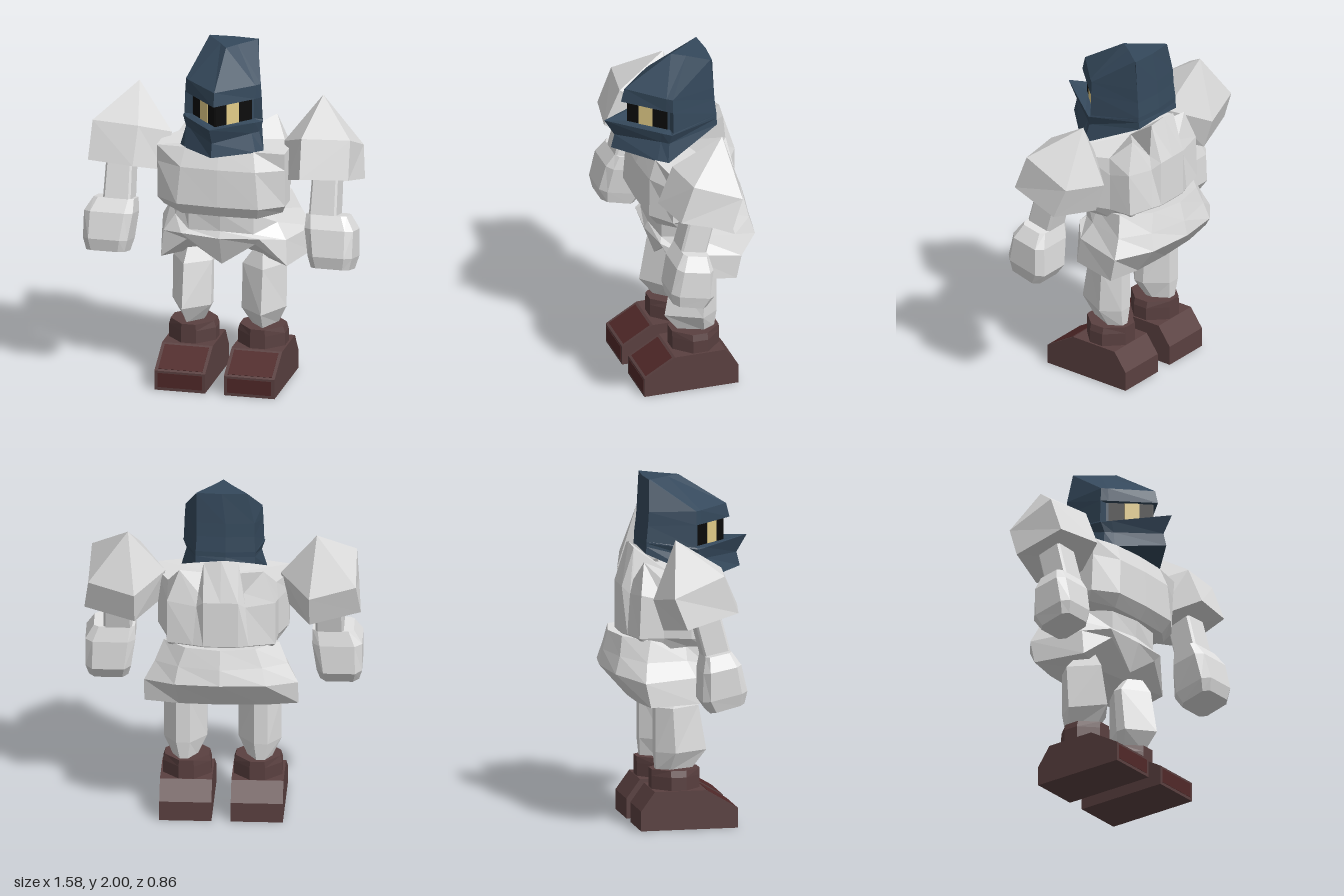
import * as THREE from 'three';

// Faceted skin through rings of [x, y, z]; the ends close on a tip or on the ring's middle.
function loft(rings, startTip, endTip) {
  const n = rings[0].length, pos = [];
  const mid = (r) => [0, 1, 2].map((k) => r.reduce((s, p) => s + p[k], 0) / n);
  const first = rings[0], last = rings[rings.length - 1];
  const a0 = startTip || mid(first), a1 = endTip || mid(last);
  const tris = [];
  for (let i = 0; i < n; i++) {
    const j = (i + 1) % n;
    tris.push([a0, first[j], first[i]], [a1, last[i], last[j]]);
    for (let r = 0; r < rings.length - 1; r++) {
      const p = rings[r], q = rings[r + 1];
      tris.push([p[i], p[j], q[j]], [p[i], q[j], q[i]]);
    }
  }
  // Turn every face outward, whichever way the rings run
  const V = (p) => new THREE.Vector3(...p);
  const volume = tris.reduce((s, [a, b, c]) => s + V(a).dot(V(b).cross(V(c))), 0);
  for (const [a, b, c] of tris) pos.push(...a, ...(volume < 0 ? c : b), ...(volume < 0 ? b : c));
  const g = new THREE.BufferGeometry();
  g.setAttribute('position', new THREE.Float32BufferAttribute(pos, 3));
  g.computeVertexNormals();
  return g;
}

// Full ring from a half that runs from front centre to back centre
const mirrorRing = (half) => [
  ...half, ...half.slice(1, -1).reverse().map(([x, y, z]) => [-x, y, z]),
];

// Hood cloth hangs slightly to one side at the back
const hang = (ring) => ring.map(([x, y, z]) => [z < -0.1 && y < 1.9 ? x - 0.022 : x, y, z]);

// Ring with chamfered corners: centre x, y, z, half sizes, chamfer share, rise towards the front
function octRing(x, y, z, w, d, c, slope = 0) {
  const k = 1 - c;
  return [[w, d * k], [w * k, d], [-w * k, d], [-w, d * k], [-w, -d * k], [-w * k, -d], [w * k, -d], [w, -d * k]]
    .map(([u, v]) => [x + u, y + v * slope, z + v]);
}

// Six-sided leg section: front corner outwards, narrow back
const legRing = (y, x0, x1, z0, z1) =>
  [[0, 0.6], [0.58, 1], [1, 0.34], [0.7, 0], [0.38, 0], [0, 0.4]]
    .map(([u, v]) => [x0 + u * (x1 - x0), y, z0 + v * (z1 - z0)]);

export function createModel() {
  const model = new THREE.Group();
  const mat = (name, color) => {
    const m = new THREE.MeshStandardMaterial({ color });
    m.name = name;
    m.flatShading = true;
    return m;
  };
  const armour = mat('pale armour', 0xdedede);
  const hoodBlue = mat('hood blue', 0x35495c);
  const bootBrown = mat('boot brown', 0x5a4040);
  const toeRed = mat('toe red', 0x502828);
  const black = mat('visor black', 0x0b0b0b);
  const gold = mat('eye gold', 0xe2cc88);

  const add = (parent, name, geometry, material) => {
    const m = new THREE.Mesh(geometry, material);
    m.name = name;
    parent.add(m);
    return m;
  };

  // Chest: broad breastplate in front, ridged hump behind
  add(model, 'chest', loft([
    [[0, 1.44, 0.2], [0.2, 1.44, 0.19], [0.375, 1.43, 0.16], [0.375, 1.43, 0.03], [0.31, 1.43, -0.11],
      [0.24, 1.54, -0.22], [0.13, 1.42, -0.26], [0.1, 1.6, -0.25], [0, 1.62, -0.26]],
    [[0, 1.33, 0.24], [0.22, 1.33, 0.23], [0.375, 1.33, 0.15], [0.375, 1.33, 0.03], [0.32, 1.33, -0.12],
      [0.31, 1.36, -0.25], [0.14, 1.34, -0.28], [0.1, 1.38, -0.32], [0, 1.38, -0.32]],
    [[0, 1.11, 0.25], [0.24, 1.11, 0.24], [0.375, 1.11, 0.14], [0.375, 1.11, 0.03], [0.32, 1.11, -0.12],
      [0.31, 1.11, -0.26], [0.16, 1.11, -0.3], [0.1, 1.11, -0.32], [0, 1.11, -0.32]],
    [[0, 1.04, 0.2], [0.22, 1.04, 0.19], [0.35, 1.06, 0.1], [0.34, 1.06, 0.02], [0.29, 1.04, -0.12],
      [0.25, 1.04, -0.22], [0.15, 1.04, -0.27], [0.08, 1.04, -0.29], [0, 1.04, -0.29]],
  ].map(mirrorRing), [0, 1.43, -0.02]), armour);

  // Skirt: flared at the back, arched over each leg at the front
  add(model, 'skirt', loft([
    [[0, 1.05, 0.18], [0.19, 1.05, 0.15], [0.26, 1.05, 0.02], [0.33, 1.1, -0.2], [0.2, 1.11, -0.34], [0, 1.11, -0.38]],
    [[0, 0.94, 0.17], [0.19, 0.93, 0.15], [0.3, 0.97, 0.02], [0.38, 0.98, -0.23], [0.24, 1.0, -0.36], [0, 1.0, -0.41]],
    [[0, 0.9, 0.19], [0.23, 0.91, 0.17], [0.36, 0.88, 0.06], [0.44, 0.87, -0.25], [0.26, 0.9, -0.39], [0, 0.91, -0.43]],
    [[0, 0.73, 0.13], [0.2, 0.87, 0.15], [0.37, 0.73, 0.08], [0.44, 0.73, -0.22], [0.24, 0.73, -0.26], [0, 0.73, -0.27]],
  ].map(mirrorRing), null, [0, 0.8, -0.08]), armour);

  // Hood: brow, recessed eye band, pointed muzzle guard
  const head = new THREE.Group();
  head.name = 'head';
  model.add(head);
  add(head, 'hood', loft([
    [[0, 2, 0.03], [0.05, 2, -0.045], [0.14, 2, -0.16], [0.145, 2, -0.17], [0, 2, -0.18]],
    [[0, 1.82, 0.31], [0.195, 1.82, 0.12], [0.22, 1.82, 0.09], [0.165, 1.82, -0.18], [0, 1.82, -0.195]],
    [[0, 1.74, 0.33], [0.195, 1.74, 0.125], [0.225, 1.74, 0.09], [0.165, 1.74, -0.185], [0, 1.74, -0.2]],
    [[0, 1.74, 0.29], [0.18, 1.74, 0.095], [0.225, 1.74, 0.09], [0.165, 1.74, -0.185], [0, 1.74, -0.2]],
    [[0, 1.61, 0.29], [0.18, 1.61, 0.095], [0.23, 1.61, 0.09], [0.17, 1.65, -0.195], [0, 1.65, -0.21]],
    [[0, 1.635, 0.43], [0.2, 1.605, 0.15], [0.235, 1.6, 0.1], [0.17, 1.64, -0.195], [0, 1.64, -0.21]],
    [[0, 1.535, 0.37], [0.18, 1.54, 0.15], [0.215, 1.54, 0.11], [0.17, 1.62, -0.195], [0, 1.62, -0.21]],
    [[0, 1.455, 0.39], [0.21, 1.435, 0.18], [0.245, 1.43, 0.125], [0.17, 1.58, -0.2], [0, 1.6, -0.215]],
  ].map((half) => hang(mirrorRing(half)))), hoodBlue);

  // Thin plate on the slanted eye band, from x0 to x1 on one side
  const bandZ = (x) => 0.29 - x * (0.195 / 0.18);
  const bandPlate = (name, s, x0, x1, lift, material) => {
    const len = Math.hypot(x1 - x0, bandZ(x0) - bandZ(x1)), xm = (x0 + x1) / 2;
    const m = add(head, name, new THREE.BoxGeometry(len, 0.128, 0.006), material);
    m.position.set(s * (xm + lift * 0.73), 1.675, bandZ(xm) + lift * 0.68);
    m.rotation.y = s * Math.atan2(0.195, 0.18);
  };

  for (const s of [1, -1]) {
    const side = s > 0 ? 'left' : 'right';
    const flip = (ring) => ring.map(([x, y, z]) => [x * s, y, z]);
    const part = (name, rings, material, tip) => add(model, side + name,
      loft(rings.map(flip), tip && flip([tip])[0]), material);

    bandPlate(side + 'Visor', s, 0, 0.17, 0.002, black);
    bandPlate(side + 'Eye', s, 0.05, 0.108, 0.006, gold);

    // Five-sided pointed shoulder guard
    part('Shoulder', [
      [[0.757, 1.54, 0.14], [0.48, 1.54, 0.18], [0.33, 1.45, -0.02], [0.5, 1.37, -0.22], [0.765, 1.42, -0.15]],
      [[0.765, 1.325, 0.22], [0.49, 1.325, 0.27], [0.36, 1.24, 0.05], [0.5, 1.19, -0.16], [0.79, 1.24, -0.08]],
    ], armour, [0.54, 1.72, -0.1]);

    // Arm and gauntlet, leaning forward
    part('Arm', [
      octRing(0.605, 1.36, 0.04, 0.075, 0.08, 0.15),
      octRing(0.605, 1.04, 0.125, 0.082, 0.08, 0.15),
    ], armour);
    part('Gauntlet', [
      octRing(0.625, 1.08, 0.115, 0.118, 0.075, 0.25, 0.2),
      octRing(0.648, 1.0, 0.13, 0.143, 0.11, 0.3, 0.2),
      octRing(0.66, 0.84, 0.145, 0.13, 0.13, 0.3, 0.22),
      octRing(0.66, 0.77, 0.16, 0.112, 0.1, 0.3, 0.25),
    ], armour);

    // Leg
    part('Leg', [
      legRing(0.7, 0.09, 0.335, -0.158, 0.1),
      legRing(0.44, 0.09, 0.335, -0.158, 0.145),
      legRing(0.33, 0.145, 0.28, -0.15, 0.06),
    ], armour, [0.21, 0.87, 0]);

    // Boot with ankle cuff
    part('Cuff', [
      octRing(0.203, 0.2, -0.037, 0.138, 0.14, 0.68),
      octRing(0.203, 0.3, -0.037, 0.138, 0.14, 0.68),
      octRing(0.203, 0.338, -0.037, 0.127, 0.14, 0.68),
    ], bootBrown);
    const profile = [[0.305, 0], [0.305, 0.115], [0.12, 0.225], [-0.18, 0.225], [-0.26, 0.115], [-0.26, 0]];
    part('Boot', [0.055, 0.353].map((x) => profile.map(([z, y]) => [x, y, z])), bootBrown);

    // Red panels on the toe front and instep
    const toe = add(model, side + 'ToePanel', new THREE.BoxGeometry(0.26, 0.085, 0.004), toeRed);
    toe.position.set(s * 0.204, 0.06, 0.305);
    const instep = add(model, side + 'InstepPanel', new THREE.BoxGeometry(0.26, 0.185, 0.004), toeRed);
    instep.position.set(s * 0.204, 0.17, 0.2125);
    instep.rotation.x = -Math.atan2(0.185, 0.11);
  }
  return model;
}
